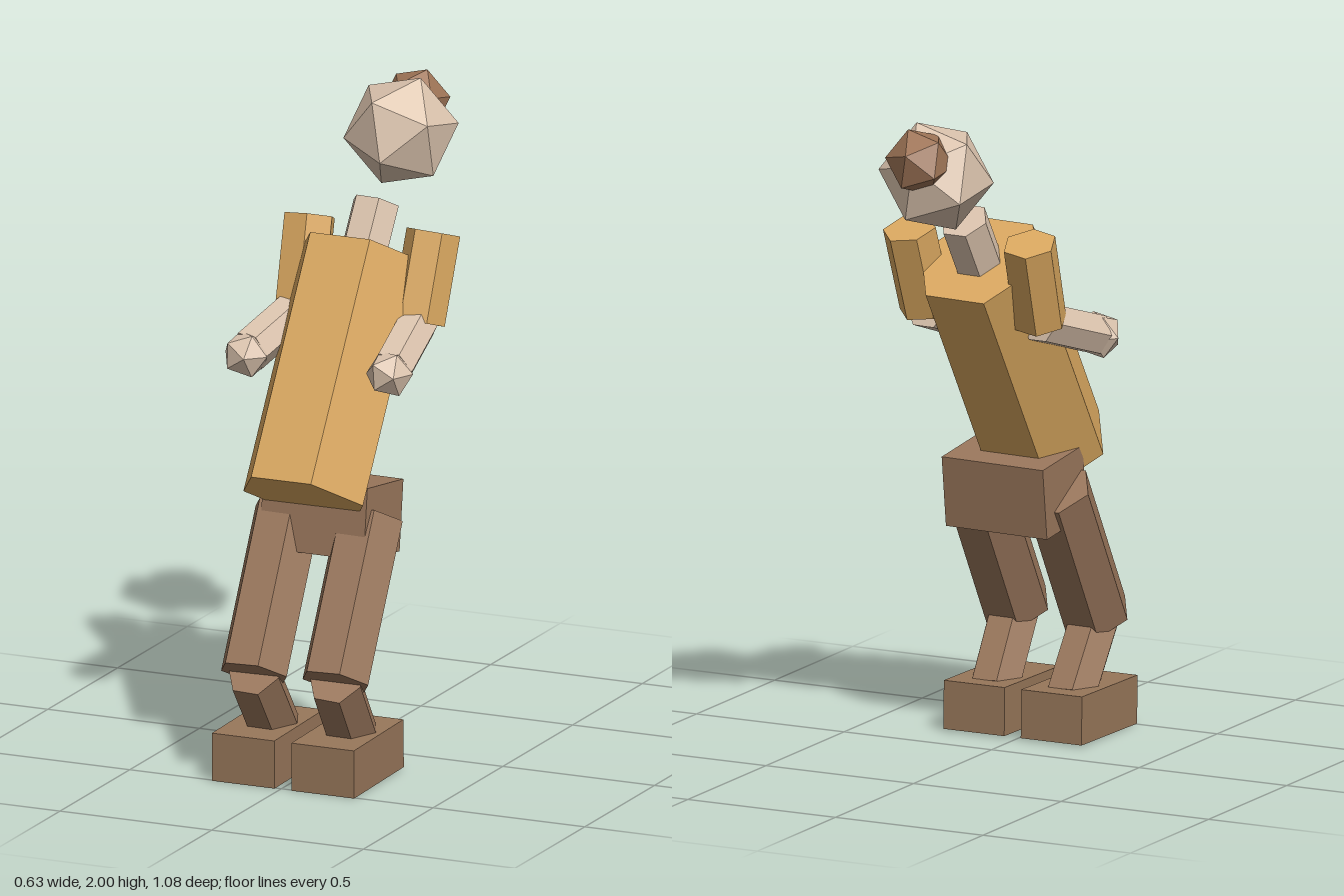
import * as THREE from 'three';

const V = (x, y, z) => new THREE.Vector3(x, y, z);

const material = (name, color) => {
  const m = new THREE.MeshStandardMaterial({ color });
  m.name = name;
  return m;
};

// Rotation whose local y follows "up" and whose local x leans towards "side"
function frame(up, side) {
  const y = up.clone().normalize();
  const x = side.clone().addScaledVector(y, -side.dot(y)).normalize();
  return new THREE.Matrix4().makeBasis(x, y, x.clone().cross(y));
}

export function createModel() {
  const group = new THREE.Group();
  const skin = material('skin', 0xdcc4ae);
  const shirt = material('shirt', 0xdaa860);
  const trousers = material('trousers', 0x9a775c);
  const shoe = material('shoe', 0x98775a);
  const hair = material('hair', 0x9e7456);
  const across = V(1, 0, 0.04);

  function add(name, geometry, mat, position, rotation) {
    const mesh = new THREE.Mesh(geometry, mat);
    mesh.name = name;
    mesh.position.copy(position);
    if (rotation) mesh.quaternion.setFromRotationMatrix(rotation);
    group.add(mesh);
    return mesh;
  }

  // Faceted hexagonal bar between two points, one corner turned towards "side"
  function bar(name, mat, from, to, r, side = across) {
    const up = to.clone().sub(from);
    const g = new THREE.CylinderGeometry(r, r, up.length(), 6).rotateY(Math.PI / 2).toNonIndexed();
    g.computeVertexNormals();
    add(name, g, mat, from.clone().lerp(to, 0.5), frame(up, side));
  }

  // Twenty-sided ball, turned so that two neighbouring corners point along p and q
  function ball(name, mat, centre, r, p, q) {
    const a = p.clone().normalize(), b = q.clone().normalize();
    add(name, new THREE.IcosahedronGeometry(r, 0), mat, centre, frame(a.clone().add(b), a.sub(b)));
  }

  // Trunk, leaning back
  bar('torso', shirt, V(0, 0.864, 0.344), V(0.005, 1.521, -0.069), 0.2);
  bar('neck', skin, V(0.008, 1.50, -0.057), V(0.013, 1.659, -0.152), 0.076);
  add('pelvis', new THREE.BoxGeometry(0.35, 0.22, 0.24), trousers,
    V(0.014, 0.776, 0.172), frame(V(0, 1, -0.125), across));

  // Head and hair bun share one tilt
  const p = V(0.154, 0.025, -0.08), q = V(0.058, 0.165, -0.026);
  ball('head', skin, V(0.009, 1.835, -0.338), 0.174, p, q);
  ball('hairBun', hair, V(0.01, 1.9, -0.44), 0.105, p, q);

  // Arms and legs, posed slightly differently on each side
  const sides = [
    {
      name: 'left', sign: 1,
      shoulder: V(0.221, 1.603, -0.109), elbow: V(0.21, 1.343, -0.022), hand: V(0.241, 1.256, 0.248),
      hip: V(0.143, 0.777, 0.176), knee: V(0.154, 0.337, 0.448), ankle: V(0.138, 0.11, 0.275),
      foot: V(0.14, 0.078, 0.33),
    },
    {
      name: 'right', sign: -1,
      shoulder: V(-0.193, 1.603, -0.122), elbow: V(-0.18, 1.343, -0.028), hand: V(-0.239, 1.256, 0.232),
      hip: V(-0.122, 0.777, 0.184), knee: V(-0.111, 0.334, 0.456), ankle: V(-0.116, 0.11, 0.28),
      foot: V(-0.122, 0.078, 0.33),
    },
  ];
  for (const s of sides) {
    bar(s.name + 'UpperArm', shirt, s.shoulder, s.elbow, 0.083, V(s.sign, 0, -0.23));
    bar(s.name + 'Forearm', skin, s.elbow, s.elbow.clone().lerp(s.hand, 0.94), 0.066);
    const reach = s.hand.clone().sub(s.elbow).normalize();
    ball(s.name + 'Hand', skin, s.hand, 0.074,
      reach.clone().add(V(0.5, 0.35, 0)), reach.clone().add(V(-0.5, -0.35, 0)));

    bar(s.name + 'Thigh', trousers, s.hip, s.knee, 0.109);
    bar(s.name + 'Shin', trousers, s.knee, s.ankle, 0.083);
    add(s.name + 'Foot', new THREE.BoxGeometry(0.206, 0.149, 0.356), shoe, s.foot).rotation.x = 0.018;
  }
  return group;
}
